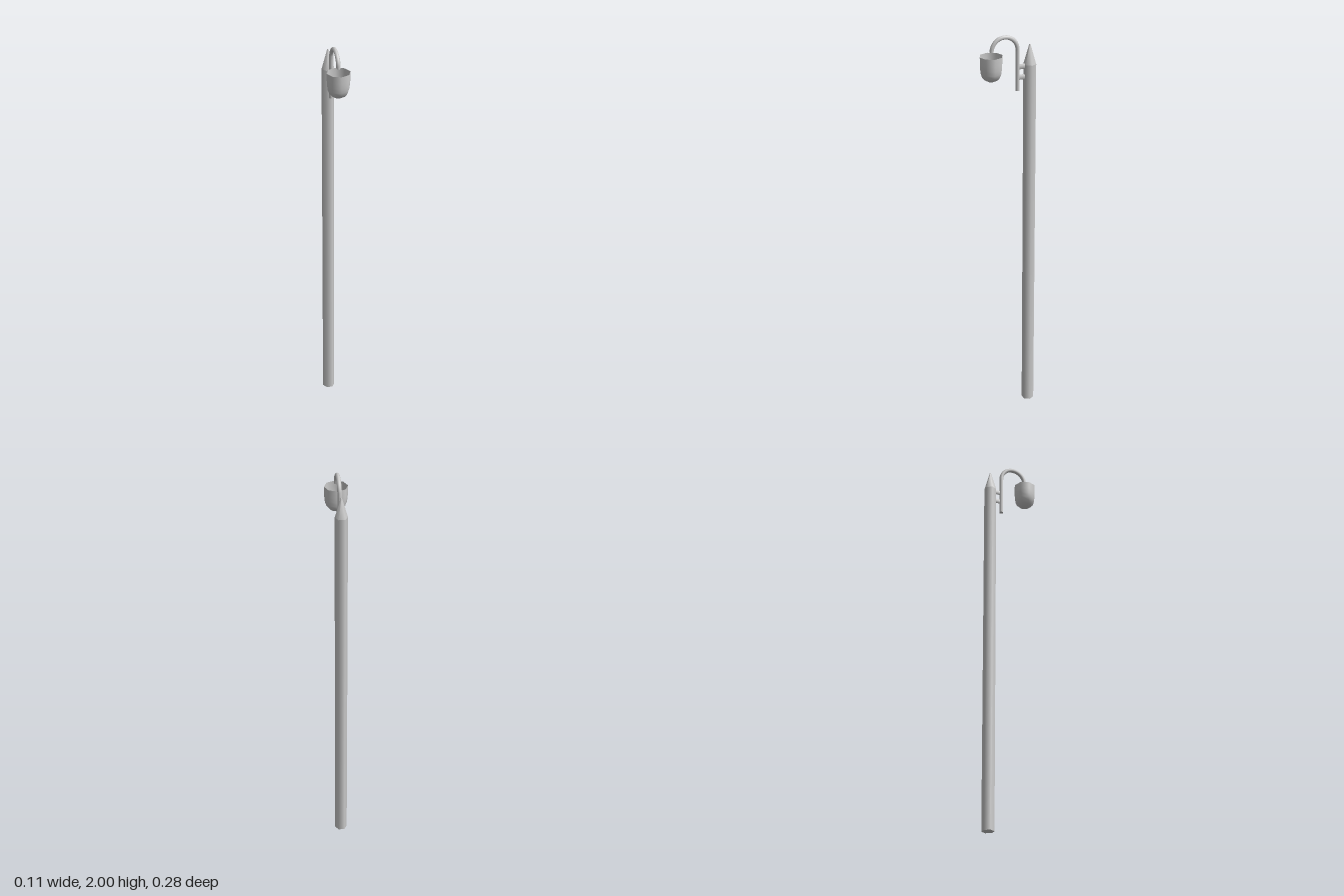
import * as THREE from 'three';

export function createModel() {
  const model = new THREE.Group();
  const grey = new THREE.MeshStandardMaterial({ color: 0xcccccc });
  const thin = new THREE.MeshStandardMaterial({ color: 0xcccccc, side: THREE.DoubleSide });
  const add = (name, geometry, material, x, y, z) => {
    const mesh = new THREE.Mesh(geometry, material);
    mesh.name = name;
    mesh.position.set(x, y, z);
    model.add(mesh);
    return mesh;
  };

  // Six-sided post with a pointed top
  const postZ = -0.113, postR = 0.031, shoulder = 1.845, tip = 1.943;
  add('post', new THREE.CylinderGeometry(postR, postR, shoulder, 6, 1, false, Math.PI / 6),
    grey, 0, shoulder / 2, postZ);
  add('postPoint', new THREE.CylinderGeometry(0.003, postR, tip - shoulder, 6, 1, false, Math.PI / 6),
    grey, 0, (tip + shoulder) / 2, postZ);

  // Hooked arm: a straight stem and a half-circle bend
  const tubeR = 0.0105, bendR = 0.0655, bendY = 2 - tubeR - bendR, bendZ = 0.015;
  const path = new THREE.CurvePath();
  const stemZ = bendZ - bendR;
  path.add(new THREE.LineCurve3(new THREE.Vector3(0, 1.72, stemZ), new THREE.Vector3(0, bendY, stemZ)));
  const bend = [];
  for (let i = 0; i <= 12; i++) {
    const a = Math.PI * (1 - i / 12);
    bend.push(new THREE.Vector3(0, bendY + bendR * Math.sin(a), bendZ + bendR * Math.cos(a)));
  }
  path.add(new THREE.CatmullRomCurve3(bend));
  add('arm', new THREE.TubeGeometry(path, 36, tubeR, 8), thin, 0, 0, 0);

  // End caps of the arm
  for (const [y, z] of [[1.72, stemZ], [bendY, bendZ + bendR]]) {
    add('armEnd', new THREE.CircleGeometry(tubeR, 8), thin, 0, y, z).rotation.x = Math.PI / 2;
  }

  // Two flattened brackets between the arm and the post
  for (const y of [1.785, 1.837]) {
    const bracket = add('bracket', new THREE.CylinderGeometry(0.013, 0.013, 0.045, 8), grey, 0, y, -0.071);
    bracket.rotation.x = Math.PI / 2;
    bracket.scale.x = 0.38;
  }

  // Open eight-sided cup under the hook
  const profile = [[0, 1.78], [0.018, 1.783], [0.033, 1.791], [0.045, 1.805],
    [0.052, 1.823], [0.055, 1.845], [0.0565, 1.87], [0.0565, 1.906]]
    .map(([r, y]) => new THREE.Vector2(r, y));
  add('cup', new THREE.LatheGeometry(profile, 8), thin, 0, 0, 0.083);

  return model;
}
